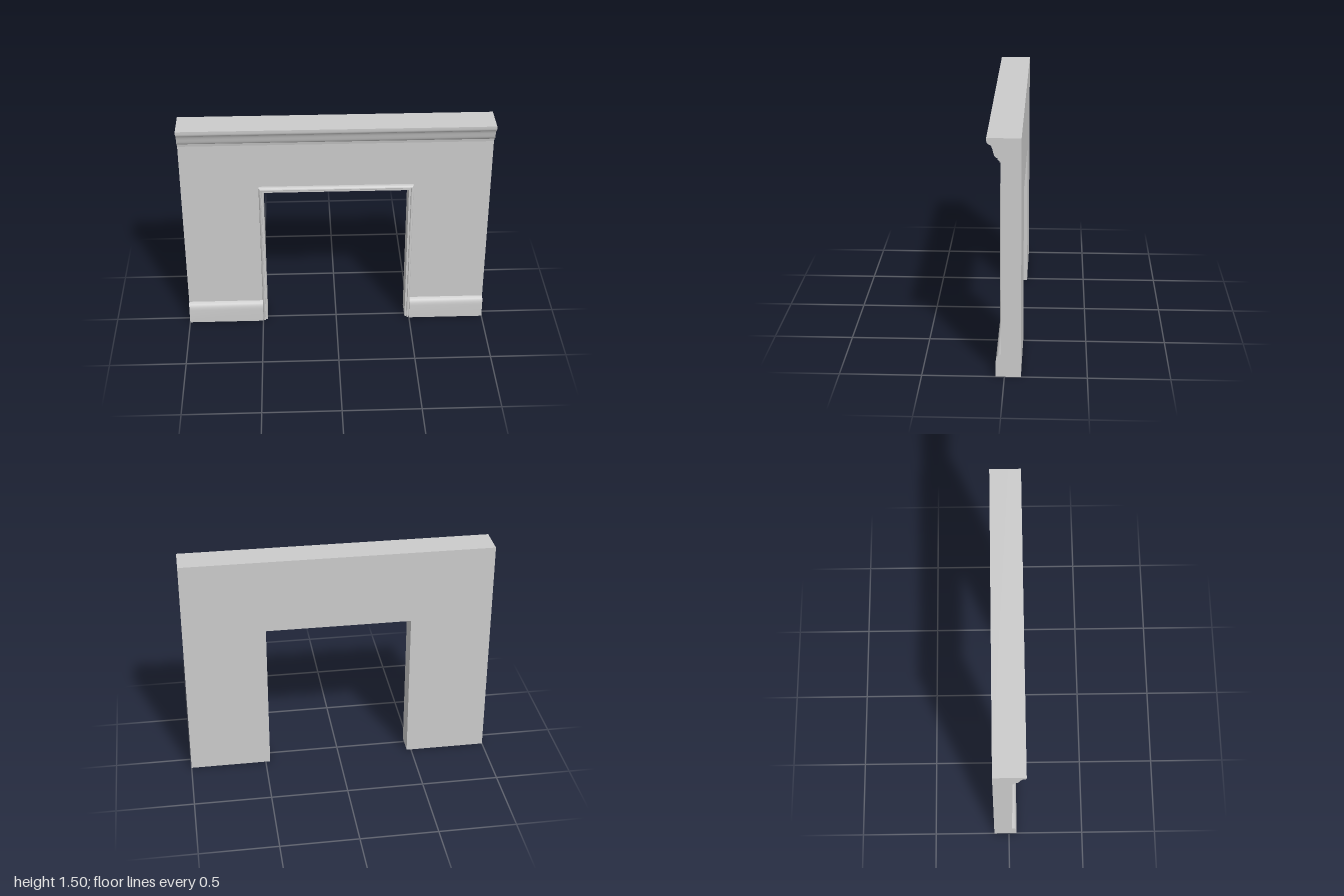
import * as THREE from 'three';
import { toCreasedNormals } from 'three/addons/utils/BufferGeometryUtils.js';

const material = new THREE.MeshStandardMaterial({ color: 0xcccccc, side: THREE.DoubleSide });

const BACK = -0.1, FACE = 0.02, TOP = 1.5;
const OPEN_X = 0.47, OPEN_Y = 1.013;   // inner edge of the opening
const TRIM_X = 0.5, TRIM_Y = 1.05;     // outer edge of the trim
const PLINTH_Y = 0.15;

const toShape = pts => new THREE.Shape(pts.map(p => new THREE.Vector2(...p)));

// Arch-shaped outline with its feet at y0
const archShape = (y0, openX, openY) => toShape([
  [-1, y0], [-openX, y0], [-openX, openY], [openX, openY],
  [openX, y0], [1, y0], [1, TOP], [-1, TOP],
]);

// Removes triangles whose three corners all satisfy the test
function dropFaces(geometry, test) {
  const g = geometry.index ? geometry.toNonIndexed() : geometry;
  const p = g.attributes.position, kept = [];
  for (let i = 0; i < p.count; i += 3) {
    const tri = [0, 1, 2].map(k => new THREE.Vector3().fromBufferAttribute(p, i + k));
    if (!tri.every(test)) tri.forEach(v => kept.push(v.x, v.y, v.z));
  }
  const out = new THREE.BufferGeometry();
  out.setAttribute('position', new THREE.Float32BufferAttribute(kept, 3));
  out.computeVertexNormals();
  return out;
}

// Runs a [z, y] profile along x, leaving its back and underside open
function moulding(profile, x0, x1) {
  const g = new THREE.ExtrudeGeometry(toShape(profile), { depth: x1 - x0, bevelEnabled: false });
  g.rotateY(-Math.PI / 2).translate(x1, 0, 0);
  const open = dropFaces(dropFaces(g, v => v.z < FACE + 1e-4), v => v.y < 1e-4);
  return toCreasedNormals(open, 0.6);
}

// Sweeps a [fraction outward, z] profile up, over and down the opening with mitred corners
function trimGeometry(profile) {
  const pos = [], index = [];
  for (const [f, z] of profile) {
    const x = THREE.MathUtils.lerp(OPEN_X, TRIM_X, f);
    const y = THREE.MathUtils.lerp(OPEN_Y, TRIM_Y, f);
    pos.push(-x, 0, z, -x, y, z, x, y, z, x, 0, z);
  }
  for (let i = 0; i < profile.length - 1; i++) {
    for (let j = 0; j < 3; j++) {
      const a = i * 4 + j, b = a + 4;
      index.push(a, a + 1, b, a + 1, b + 1, b);
    }
  }
  const g = new THREE.BufferGeometry();
  g.setAttribute('position', new THREE.Float32BufferAttribute(pos, 3));
  // wind so that the faces look outward
  for (let i = 0; i < index.length; i += 3) [index[i + 1], index[i + 2]] = [index[i + 2], index[i + 1]];
  g.setIndex(index);
  return toCreasedNormals(g, 0.6);
}

export function createModel() {
  const group = new THREE.Group();
  group.name = 'fireplaceSurround';
  const add = (name, geometry) => {
    const mesh = new THREE.Mesh(geometry, material);
    mesh.name = name;
    group.add(mesh);
  };

  // Hollow wall: back, ends, top and jambs; feet are open
  const shell = new THREE.ExtrudeGeometry(archShape(0, OPEN_X, OPEN_Y),
    { depth: FACE - BACK, bevelEnabled: false });
  shell.translate(0, 0, BACK);
  add('wallShell', dropFaces(dropFaces(shell, v => v.y < 1e-4), v => v.z > FACE - 1e-4));

  // Front face, between plinths, trim and cornice
  add('frontPanel', new THREE.ShapeGeometry(archShape(PLINTH_Y, TRIM_X, TRIM_Y)).translate(0, 0, FACE));

  // Crown moulding
  add('cornice', moulding([
    [FACE, 1.355], [0.025, 1.356], [0.027, 1.368], [0.035, 1.37], [0.037, 1.382],
    [0.044, 1.384], [0.053, 1.392], [0.058, 1.405], [0.062, 1.42], [0.066, 1.437],
    [0.071, 1.449], [0.077, 1.459], [0.085, 1.461], [0.093, 1.466], [0.098, 1.473],
    [0.1, 1.482], [0.1, TOP], [FACE, TOP],
  ], -1, 1));

  // Rounded plinth blocks
  const plinth = [
    [FACE, 0], [0.052, 0], [0.052, 0.1], [0.05, 0.118], [0.046, 0.13],
    [0.04, 0.139], [0.031, 0.145], [FACE, PLINTH_Y],
  ];
  add('leftPlinth', moulding(plinth, TRIM_X, 1));
  add('rightPlinth', moulding(plinth, -1, -TRIM_X));

  // Stepped trim around the opening
  add('openingTrim', trimGeometry([
    [0, FACE], [0, 0.036], [0.42, 0.036], [0.46, 0.046], [0.56, 0.048],
    [0.75, 0.047], [0.9, 0.043], [1, 0.035], [1, FACE],
  ]));

  return group;
}
